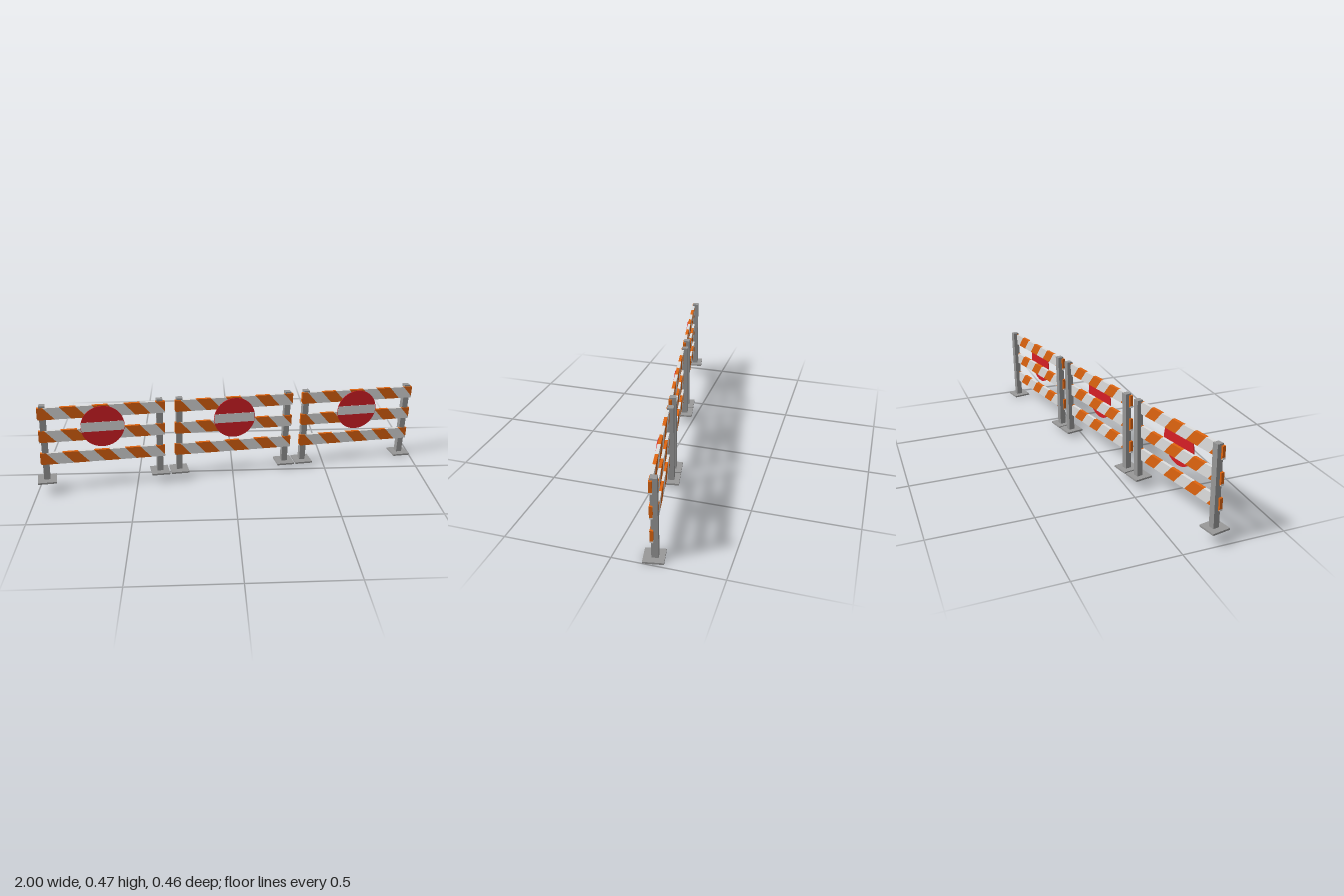
import * as THREE from 'three';

const mat = (name, color) => {
  const m = new THREE.MeshStandardMaterial({ color });
  m.name = name;
  return m;
};

const BOARD = { length: 0.626, height: 0.062, thick: 0.015, pitch: 0.1565, slant: 0.9 };

// Keep the part of a polygon where sign * (x - limit) >= 0
function clip(points, limit, sign) {
  const out = [];
  points.forEach((a, i) => {
    const b = points[(i + 1) % points.length];
    const da = sign * (a.x - limit), db = sign * (b.x - limit);
    if (da >= 0) out.push(a);
    if (da * db < 0) out.push(a.clone().lerp(b, da / (da - db)));
  });
  return out;
}

export function createModel() {
  const orange = mat('stripe orange', 0xe0650f);
  const white = mat('reflective white', 0xdedede);
  const red = mat('sign red', 0xd81f26);
  const grey = mat('steel grey', 0x989898);

  const add = (parent, name, geometry, material, x, y, z) => {
    const mesh = new THREE.Mesh(geometry, material);
    mesh.name = name;
    mesh.position.set(x, y, z);
    parent.add(mesh);
    return mesh;
  };

  // Slanted stripe blocks that together fill one board
  const stripes = [];
  const { length, height, thick, pitch, slant } = BOARD;
  const half = length / 2, h = height / 2, k = h * slant;
  for (let i = -1; i < 10; i++) {
    const x0 = -half - 0.02 + i * pitch / 2, x1 = x0 + pitch / 2;
    let pts = [
      new THREE.Vector2(x0 + k, -h), new THREE.Vector2(x1 + k, -h),
      new THREE.Vector2(x1 - k, h), new THREE.Vector2(x0 - k, h),
    ];
    pts = clip(clip(pts, -half, 1), half, -1);
    if (pts.length < 3) continue;
    stripes.push({
      geometry: new THREE.ExtrudeGeometry(new THREE.Shape(pts), { depth: thick, bevelEnabled: false }),
      material: i % 2 === 0 ? orange : white,
      name: i % 2 === 0 ? 'orangeStripe' : 'whiteStripe',
    });
  }

  const plateGeo = new THREE.BoxGeometry(0.093, 0.009, 0.093);
  const postGeo = new THREE.BoxGeometry(0.031, 0.399, 0.031);
  const discGeo = new THREE.CylinderGeometry(0.109, 0.109, 0.004, 40).rotateX(Math.PI / 2);

  // White band running across the disc, ending on its curved rim
  const R = 0.107, a = Math.asin(0.025 / R);
  const band = new THREE.Shape();
  band.absarc(0, 0, R, -a, a, false);
  band.absarc(0, 0, R, Math.PI - a, Math.PI + a, false);
  const bandGeo = new THREE.ExtrudeGeometry(band, { depth: 0.002, bevelEnabled: false });

  function createBarrier() {
    const barrier = new THREE.Group();
    barrier.name = 'barrier';

    // Posts on square foot plates
    for (const side of [-1, 1]) {
      add(barrier, 'footPlate', plateGeo, grey, side * 0.2875, 0.0045, 0);
      add(barrier, 'post', postGeo, grey, side * 0.2875, 0.2085, -0.0045);
    }

    // Three striped boards
    for (const y of [0.125, 0.246, 0.368]) {
      const board = new THREE.Group();
      board.name = 'stripedBoard';
      board.position.y = y;
      for (const s of stripes) add(board, s.name, s.geometry, s.material, 0, 0, 0);
      barrier.add(board);
    }

    // Round sign
    add(barrier, 'signDisc', discGeo, red, 0, 0.286, 0.0175);
    add(barrier, 'signBand', bandGeo, white, 0, 0.286, 0.0185);
    return barrier;
  }

  // Row of three, turned and sloping down to its left end
  const row = new THREE.Group();
  row.name = 'barrierRow';
  for (const x of [-0.677, 0, 0.677]) {
    const barrier = createBarrier();
    barrier.position.x = x;
    row.add(barrier);
  }
  row.rotation.set(0, 0.183, -0.031, 'YXZ');
  row.position.set(-0.002, 0.0315, 0);

  const model = new THREE.Group();
  model.name = 'roadBarrier';
  model.add(row);
  return model;
}
